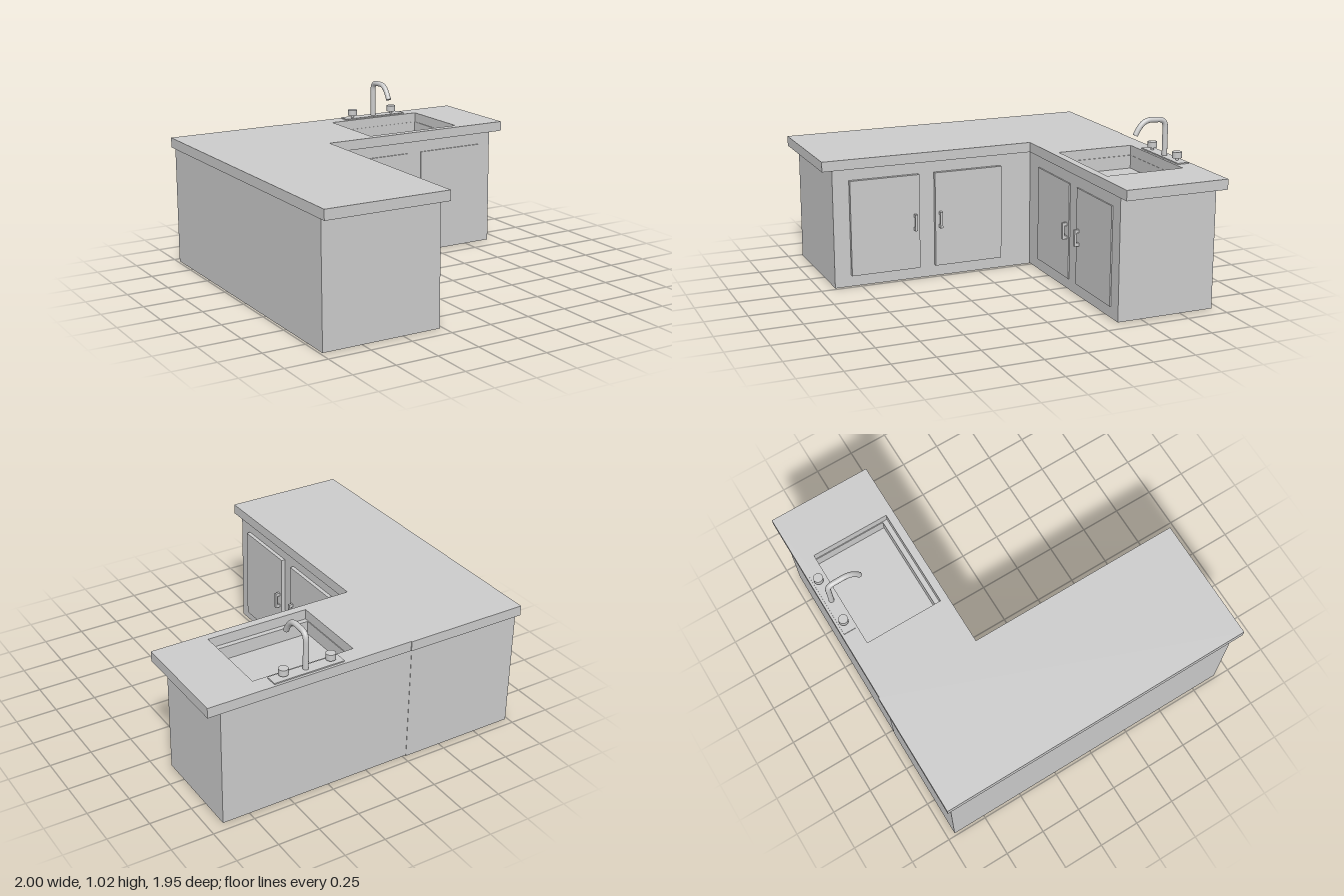
import * as THREE from 'three';

const mat = new THREE.MeshStandardMaterial({ color: 0xcccccc });
const matDouble = new THREE.MeshStandardMaterial({ color: 0xcccccc, side: THREE.DoubleSide });

function add(parent, name, geometry, material = mat) {
  const mesh = new THREE.Mesh(geometry, material);
  mesh.name = name;
  parent.add(mesh);
  return mesh;
}

// Box given by its two opposite corners
function box(parent, name, [x0, y0, z0], [x1, y1, z1]) {
  const g = new THREE.BoxGeometry(x1 - x0, y1 - y0, z1 - z0);
  g.translate((x0 + x1) / 2, (y0 + y1) / 2, (z0 + z1) / 2);
  return add(parent, name, g);
}

// Rectangle in plan, drawn with shape y = -z
function rect(Type, x0, x1, z0, z1) {
  return new Type([[x0, -z1], [x1, -z1], [x1, -z0], [x0, -z0]].map(p => new THREE.Vector2(...p)));
}

// Flat-shaded open basin: rectangular rings [x0, x1, z0, z1, y] joined by walls, closed by a floor
function basin(rings) {
  const corners = rings.map(([x0, x1, z0, z1, y]) => [[x0, y, z0], [x1, y, z0], [x1, y, z1], [x0, y, z1]]);
  const pos = [];
  const quad = (a, b, c, d) => pos.push(...a, ...b, ...c, ...a, ...c, ...d);
  for (let r = 0; r + 1 < corners.length; r++) {
    for (let i = 0; i < 4; i++) {
      const j = (i + 1) % 4, top = corners[r], low = corners[r + 1];
      quad(top[i], low[i], low[j], top[j]);
    }
  }
  const f = corners[corners.length - 1];
  quad(f[0], f[3], f[2], f[1]);
  const g = new THREE.BufferGeometry();
  g.setAttribute('position', new THREE.Float32BufferAttribute(pos, 3));
  g.computeVertexNormals();
  return g;
}

// Pair of doors facing local +z, mirrored about x = 0, with bracket pulls near the middle
function doorPair(name, thickness, reach, gap) {
  const group = new THREE.Group();
  group.name = name;
  for (const s of [-1, 1]) {
    const door = new THREE.Group();
    door.name = s < 0 ? 'rightDoor' : 'leftDoor';
    const panel = add(door, 'doorPanel', new THREE.BoxGeometry(0.43, 0.58, thickness));
    panel.position.set(s * (gap + 0.215), 0.36, thickness / 2);

    const hx = s * (gap + 0.03);
    const bar = add(door, 'handleBar', new THREE.BoxGeometry(0.016, 0.1, 0.012));
    bar.position.set(hx, 0.36, reach - 0.006);
    for (const y of [0.32, 0.4]) {
      const post = add(door, 'handlePost', new THREE.BoxGeometry(0.016, 0.02, reach - thickness));
      post.position.set(hx, y, (reach + thickness) / 2);
    }
    group.add(door);
  }
  return group;
}

export function createModel() {
  const model = new THREE.Group();
  model.name = 'cornerKitchenCounter';

  // Long wing
  box(model, 'longCabinet', [-0.985, 0, -0.952], [-0.27, 0.72, 0.91]);
  box(model, 'longCountertop', [-1, 0.72, -0.977], [-0.25, 0.78, 0.975]);
  const longDoors = doorPair('longCabinetDoors', 0.024, 0.052, 0.05);
  longDoors.rotation.y = Math.PI / 2;
  longDoors.position.set(-0.27, 0, 0.33);
  model.add(longDoors);

  // Sink wing: the cabinet is open at the top to receive the basin
  const cabinet = box(model, 'sinkCabinet', [-0.27, 0.004, -0.95], [0.915, 0.72, -0.352]);
  const index = Array.from(cabinet.geometry.index.array);
  index.splice(12, 6);
  cabinet.geometry.setIndex(index);
  cabinet.geometry.clearGroups();
  cabinet.material = matDouble;

  const plan = rect(THREE.Shape, -0.25, 1, -0.972, -0.342);
  plan.holes.push(rect(THREE.Path, 0.06, 0.68, -0.87, -0.39));
  const top = new THREE.ExtrudeGeometry(plan, { depth: 0.06, bevelEnabled: false });
  top.rotateX(-Math.PI / 2);
  top.translate(0, 0.72, 0);
  add(model, 'sinkCountertop', top);

  const sinkDoors = doorPair('sinkCabinetDoors', 0.008, 0.036, 0.05);
  sinkDoors.position.set(0.348, 0, -0.352);
  model.add(sinkDoors);

  // Basin with a narrow ledge along its front
  add(model, 'sinkBasin', basin([
    [0.06, 0.68, -0.87, -0.39, 0.72],
    [0.065, 0.675, -0.868, -0.42, 0.72],
    [0.065, 0.675, -0.868, -0.42, 0.64],
  ]), matDouble);

  // Tap set: plate, two knobs and a bent spout
  const tap = new THREE.Group();
  tap.name = 'tap';
  model.add(tap);
  box(tap, 'tapPlate', [0.17, 0.779, -0.957], [0.6, 0.787, -0.885]);
  for (const x of [0.235, 0.525]) {
    const stem = add(tap, 'knobStem', new THREE.CylinderGeometry(0.009, 0.009, 0.03, 16));
    stem.position.set(x, 0.795, -0.921);
    const knob = add(tap, 'knob', new THREE.CylinderGeometry(0.028, 0.028, 0.036, 24));
    knob.position.set(x, 0.819, -0.921);
  }

  const p = (y, z) => new THREE.Vector3(0.387, y, z);
  const spout = new THREE.CurvePath();
  spout.add(new THREE.LineCurve3(p(0.78, -0.917), p(0.95, -0.917)));
  spout.add(new THREE.CubicBezierCurve3(p(0.95, -0.917), p(0.99, -0.917), p(1.003, -0.9), p(1.003, -0.865)));
  spout.add(new THREE.LineCurve3(p(1.003, -0.865), p(1.005, -0.82)));
  spout.add(new THREE.CubicBezierCurve3(p(1.005, -0.82), p(1.005, -0.77), p(0.97, -0.745), p(0.92, -0.72)));
  add(tap, 'spout', new THREE.TubeGeometry(spout, 48, 0.016, 16), matDouble);
  const end = add(tap, 'spoutEnd', new THREE.CircleGeometry(0.016, 16), matDouble);
  end.position.copy(p(0.92, -0.72));
  end.lookAt(p(0.87, -0.695));

  return model;
}
